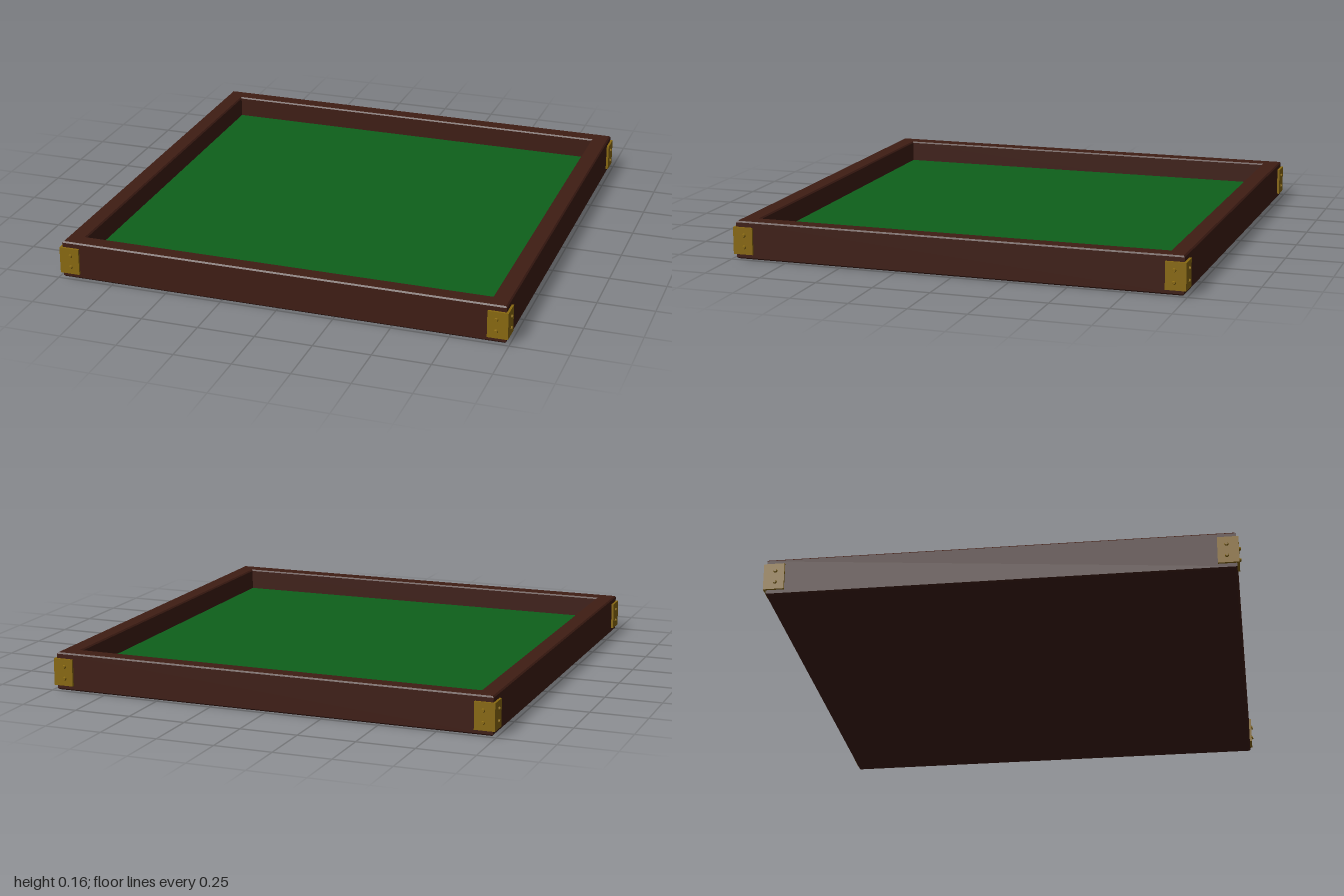
import * as THREE from 'three';

const HEIGHT = 0.165;  // frame height
const OUTER = 0.983;   // half width of the frame
const INNER = 0.905;   // half width of the opening
const BEVEL = 0.006;

const wood = new THREE.MeshStandardMaterial({ color: 0x3f1d14 });
const felt = new THREE.MeshStandardMaterial({ color: 0x0e611b });
const brass = new THREE.MeshStandardMaterial({ color: 0x8a6a10 });

function mesh(name, geometry, material, parent) {
  const m = new THREE.Mesh(geometry, material);
  m.name = name;
  parent.add(m);
  return m;
}

function square(Type, h) {
  return new Type([[-h, -h], [h, -h], [h, h], [-h, h]].map(([x, y]) => new THREE.Vector2(x, y)));
}

// L-shaped corner plate with two screws on each wing, made for the +x +z corner
function cornerBracket() {
  const group = new THREE.Group();
  const a = INNER, b = OUTER - 0.001, c = 0.993, y0 = 0.022, y1 = 0.14;
  const profile = new THREE.Shape(
    [[a, -c], [c, -c], [c, -a], [b, -a], [b, -b], [a, -b]].map(([x, y]) => new THREE.Vector2(x, y)));
  const plate = new THREE.ExtrudeGeometry(profile, { depth: y1 - y0, bevelEnabled: false });
  plate.rotateX(-Math.PI / 2);
  mesh('bracketPlate', plate, brass, group).position.y = y0;

  const screw = new THREE.CylinderGeometry(0.006, 0.009, 0.008, 12);
  for (const y of [0.054, 0.106]) {
    const front = mesh('screw', screw, brass, group);
    front.position.set(0.943, y, 0.996);
    front.rotation.x = Math.PI / 2;
    const side = mesh('screw', screw, brass, group);
    side.position.set(0.996, y, 0.943);
    side.rotation.z = -Math.PI / 2;
  }
  return group;
}

export function createModel() {
  const tray = new THREE.Group();
  tray.name = 'tray';

  // Bevelled wooden frame around a square opening
  const outline = square(THREE.Shape, OUTER - BEVEL);
  outline.holes.push(square(THREE.Path, INNER + BEVEL));
  const frame = new THREE.ExtrudeGeometry(outline, {
    depth: HEIGHT - 2 * BEVEL, bevelSize: BEVEL, bevelThickness: BEVEL, bevelSegments: 1,
  });
  frame.rotateX(-Math.PI / 2);
  mesh('frame', frame, wood, tray).position.y = BEVEL;

  // Base board, flush with the underside, and its felt lining
  const boardWidth = 2 * (INNER + BEVEL);
  mesh('baseBoard', new THREE.BoxGeometry(boardWidth, 0.06, boardWidth), wood, tray).position.y = 0.03;
  mesh('feltLining', new THREE.BoxGeometry(2 * INNER, 0.01, 2 * INNER), felt, tray).position.y = 0.065;

  // Brass brackets on the four corners
  for (let i = 0; i < 4; i++) {
    const bracket = cornerBracket();
    bracket.name = 'cornerBracket' + (i + 1);
    bracket.rotation.y = i * Math.PI / 2;
    tray.add(bracket);
  }
  return tray;
}
